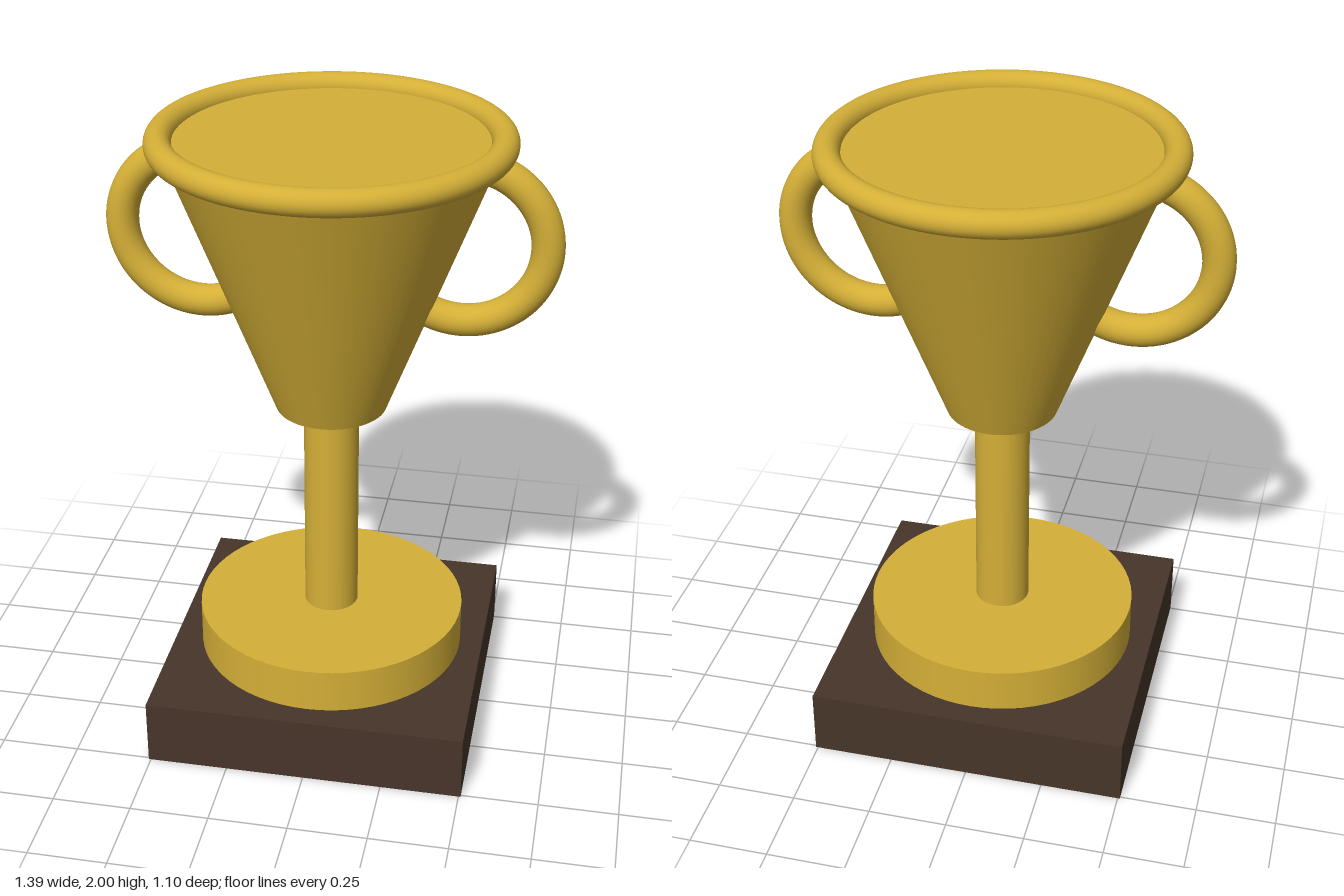
import * as THREE from 'three';

export function createModel() {
  const group = new THREE.Group();
  const gold = new THREE.MeshStandardMaterial({ color: 0xd4af37 });
  gold.name = 'gold';
  const wood = new THREE.MeshStandardMaterial({ color: 0x47352a });
  wood.name = 'darkWood';

  const add = (name, geometry, material, x, y) => {
    const mesh = new THREE.Mesh(geometry, material);
    mesh.name = name;
    mesh.position.set(x, y, 0);
    group.add(mesh);
    return mesh;
  };
  // Upright round part between two heights
  const round = (name, rTop, rBottom, y0, y1) =>
    add(name, new THREE.CylinderGeometry(rTop, rBottom, y1 - y0, 64), gold, 0, (y0 + y1) / 2);

  // Square plinth and round foot
  add('plinth', new THREE.BoxGeometry(1.014, 0.217, 1.014), wood, 0, 0.1085);
  round('foot', 0.433, 0.433, 0.217, 0.362);

  // Stem and closed conical cup
  round('stem', 0.087, 0.087, 0.362, 1.09);
  round('cup', 0.507, 0.174, 1.088, 1.96);

  // Rolled rim
  const rim = new THREE.TorusGeometry(0.507, 0.041, 24, 96);
  rim.rotateX(Math.PI / 2);
  add('rim', rim, gold, 0, 1.959);

  // Mirrored handles, with their ends sunk into the cup
  const start = THREE.MathUtils.degToRad(-130);
  const arc = THREE.MathUtils.degToRad(230);
  for (const side of [1, -1]) {
    const handle = new THREE.TorusGeometry(0.247, 0.05, 24, 64, arc);
    handle.rotateZ(start);
    if (side < 0) handle.rotateY(Math.PI);
    add(side > 0 ? 'leftHandle' : 'rightHandle', handle, gold, side * 0.4, 1.66);
  }
  return group;
}
